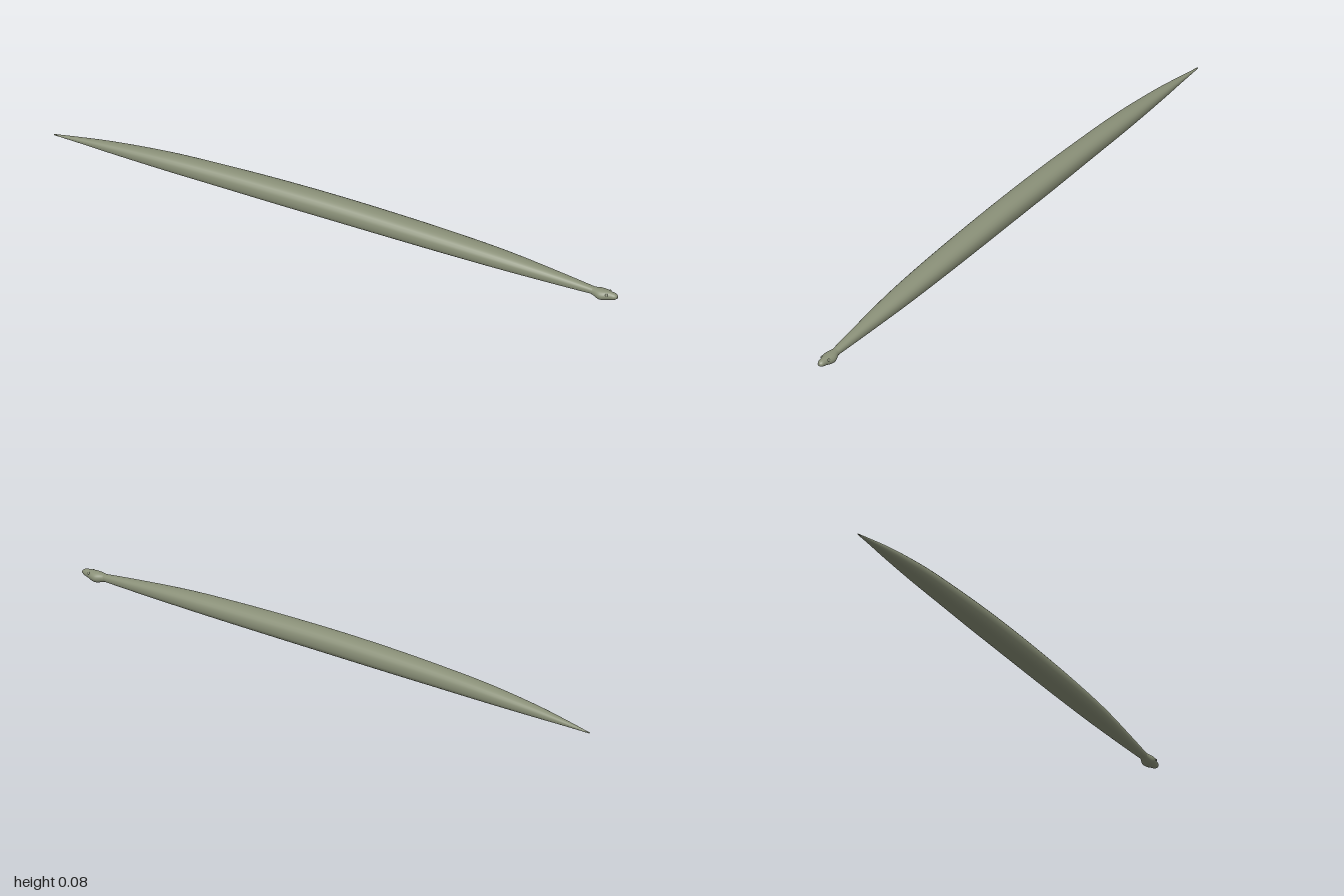
import * as THREE from 'three';

const SIDES = 24;

// Skin through rounded cross-sections; each station is [x, bottom, top, halfWidth]
function loft(stations, steps, squareness, material, name) {
  const heights = new THREE.CatmullRomCurve3(stations.map(([x, b, t]) => new THREE.Vector3(x, b, t)));
  const widths = new THREE.CatmullRomCurve3(stations.map(([x, , , w]) => new THREE.Vector3(x, w, 0)));
  const positions = [];
  const index = [];
  const soften = (v, e) => Math.sign(v) * Math.pow(Math.abs(v), e);
  for (let i = 0; i <= steps; i++) {
    const h = heights.getPoint(i / steps);
    const w = widths.getPoint(i / steps).y;
    const mid = (h.y + h.z) / 2;
    const half = (h.z - h.y) / 2;
    for (let j = 0; j < SIDES; j++) {
      const a = (j / SIDES) * Math.PI * 2;
      const c = Math.cos(a);
      // The belly is squarer than the back
      const e = c < 0 ? squareness : (1 + squareness) / 2;
      positions.push(h.x, mid + half * soften(c, e), w * soften(Math.sin(a), e));
    }
  }
  for (let i = 0; i < steps; i++) {
    for (let j = 0; j < SIDES; j++) {
      const k = (j + 1) % SIDES;
      const a = i * SIDES + j, b = i * SIDES + k;
      index.push(a, b, a + SIDES, b, b + SIDES, a + SIDES);
    }
  }
  // Close both ends
  for (const [ring, flip] of [[0, false], [steps, true]]) {
    const h = heights.getPoint(ring / steps);
    const centre = positions.length / 3;
    positions.push(h.x, (h.y + h.z) / 2, 0);
    for (let j = 0; j < SIDES; j++) {
      const a = ring * SIDES + j, b = ring * SIDES + (j + 1) % SIDES;
      if (flip) index.push(centre, a, b);
      else index.push(centre, b, a);
    }
  }
  const geometry = new THREE.BufferGeometry();
  geometry.setAttribute('position', new THREE.Float32BufferAttribute(positions, 3));
  geometry.setIndex(index);
  geometry.computeVertexNormals();
  const mesh = new THREE.Mesh(geometry, material);
  mesh.name = name;
  return mesh;
}

export function createModel() {
  const model = new THREE.Group();
  model.name = 'snake';
  const skin = new THREE.MeshStandardMaterial({ color: 0x8a9078 });

  // Long body tapering to a pointed tail, with a flat belly line
  model.add(loft([
    [-1, 0.011, 0.014, 0.002],
    [-0.9, 0.012, 0.031, 0.011],
    [-0.8, 0.012, 0.046, 0.02],
    [-0.6, 0.012, 0.067, 0.032],
    [-0.4, 0.012, 0.078, 0.037],
    [-0.2, 0.012, 0.084, 0.041],
    [0, 0.012, 0.086, 0.042],
    [0.2, 0.012, 0.083, 0.042],
    [0.4, 0.012, 0.077, 0.04],
    [0.6, 0.012, 0.067, 0.034],
    [0.8, 0.012, 0.049, 0.021],
    [0.9, 0.013, 0.038, 0.014],
    [0.935, 0.014, 0.034, 0.012],
  ], 72, 0.8, skin, 'body'));

  // Wedge-shaped head, broad at the jaws and blunt at the snout
  model.add(loft([
    [0.905, 0.014, 0.036, 0.012],
    [0.92, 0.009, 0.037, 0.015],
    [0.94, 0.003, 0.038, 0.022],
    [0.955, 0.004, 0.038, 0.021],
    [0.975, 0.009, 0.037, 0.014],
    [0.992, 0.014, 0.034, 0.011],
    [1, 0.019, 0.029, 0.006],
  ], 24, 0.95, skin, 'head'));

  // Eyes on the sides of the head
  for (const side of [-1, 1]) {
    const eye = new THREE.Mesh(new THREE.SphereGeometry(0.0045, 12, 8), skin);
    eye.position.set(0.968, 0.03, side * 0.0135);
    eye.name = side > 0 ? 'frontEye' : 'backEye';
    model.add(eye);
  }

  // Rest the jaw on the ground
  const box = new THREE.Box3().setFromObject(model);
  model.position.y = -box.min.y;
  return model;
}
